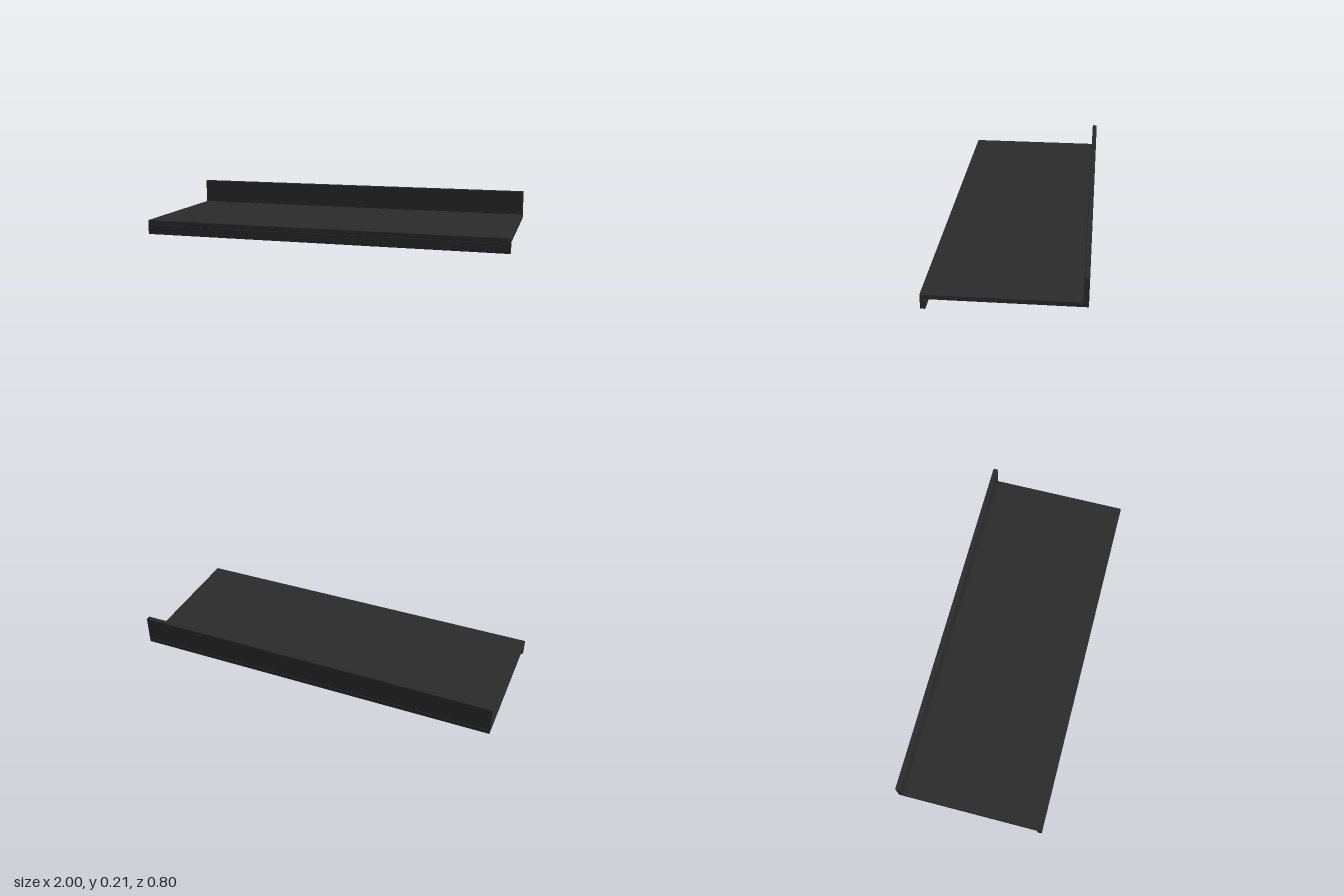
import * as THREE from 'three';
import { RoundedBoxGeometry } from 'three/addons/geometries/RoundedBoxGeometry.js';

export function createModel() {
  const group = new THREE.Group();
  group.name = 'shelf';
  const charcoal = new THREE.MeshStandardMaterial({ color: 0x2b2b2b });
  charcoal.name = 'charcoal';

  const length = 2;
  const depth = 0.8;
  const thick = 0.026;
  const slabBottom = 0.054;
  const slabTop = slabBottom + thick;

  // Full-length panel with slightly softened edges, given its y and z ranges
  function panel(name, y0, y1, z0, z1) {
    const geometry = new RoundedBoxGeometry(length, y1 - y0, z1 - z0, 3, 0.003);
    const mesh = new THREE.Mesh(geometry, charcoal);
    mesh.name = name;
    mesh.position.set(0, (y0 + y1) / 2, (z0 + z1) / 2);
    group.add(mesh);
  }

  // Flat top, raised strip along the back, lip hanging below the front edge
  panel('topSlab', slabBottom, slabTop, -depth / 2, depth / 2);
  panel('backUpstand', slabTop, 0.214, -depth / 2, -depth / 2 + thick);
  panel('frontLip', 0, slabBottom, depth / 2 - thick, depth / 2);

  return group;
}
